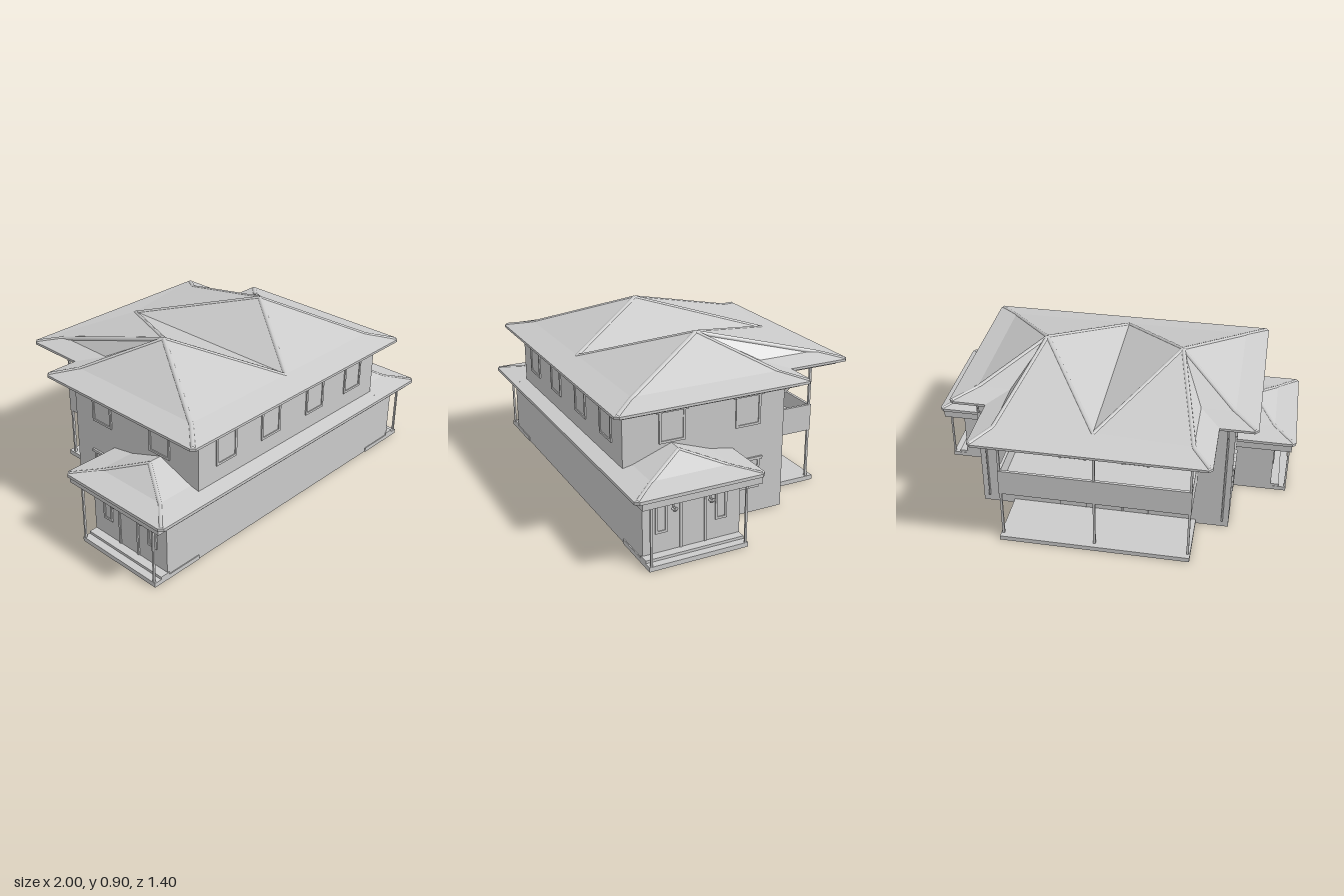
import * as THREE from 'three';

const mat = new THREE.MeshStandardMaterial({ color: 0xcccccc, flatShading: true, side: THREE.DoubleSide });
const smooth = new THREE.MeshStandardMaterial({ color: 0xcccccc });
const V = (x, y, z) => new THREE.Vector3(x, y, z);

function add(parent, name, geo, m = mat) {
  const mesh = new THREE.Mesh(geo, m);
  mesh.name = name;
  parent.add(mesh);
  return mesh;
}

// box given by its min and max on each axis
function box(parent, name, x0, x1, y0, y1, z0, z1) {
  const g = new THREE.BoxGeometry(Math.abs(x1 - x0), y1 - y0, z1 - z0);
  g.translate((x0 + x1) / 2, (y0 + y1) / 2, (z0 + z1) / 2);
  return add(parent, name, g);
}

// four thin walls around a rectangle, open above and below
function ring(parent, name, x0, x1, y0, y1, z0, z1, t = 0.01) {
  const g = new THREE.Group();
  g.name = name;
  const a = Math.min(x0, x1), b = Math.max(x0, x1);
  box(g, 'frontSide', a, b, y0, y1, z1 - t, z1);
  box(g, 'backSide', a, b, y0, y1, z0, z0 + t);
  box(g, 'rightSide', a, a + t, y0, y1, z0 + t, z1 - t);
  box(g, 'leftSide', b - t, b, y0, y1, z0 + t, z1 - t);
  parent.add(g);
}

// floor plate on a rim, hollow underneath
function hollowFloor(parent, name, x0, x1, y1, z0, z1) {
  ring(parent, name + 'Rim', x0, x1, 0, y1 - 0.006, z0, z1);
  box(parent, name, x0, x1, y1 - 0.006, y1, z0, z1);
}

// surface from triangles and quads of the +x half, mirrored to -x
function mirroredFaces(faces) {
  const pos = [];
  const tri = (a, b, c) => {
    for (const p of [a, b, c]) pos.push(p.x, p.y, p.z);
    for (const p of [a, c, b]) pos.push(-p.x, p.y, p.z);
  };
  for (const f of faces) {
    for (let i = 2; i < f.length; i++) {
      if (f[0] !== f[i] && f[i] !== f[i - 1]) tri(f[0], f[i - 1], f[i]);
    }
  }
  const g = new THREE.BufferGeometry();
  g.setAttribute('position', new THREE.Float32BufferAttribute(pos, 3));
  g.computeVertexNormals();
  return g;
}

// flat slab from a half outline of [x, z] points, mirrored to -x
function slab(parent, name, half, y0, y1) {
  const pts = [...half, ...half.slice().reverse().map(([x, z]) => [-x, z])];
  const shape = new THREE.Shape(pts.map(([x, z]) => new THREE.Vector2(x, -z)));
  const g = new THREE.ExtrudeGeometry(shape, { depth: y1 - y0, bevelEnabled: false });
  g.rotateX(-Math.PI / 2).translate(0, y0, 0);
  return add(parent, name, g);
}

// straight-segment pipe through points
function pipe(parent, name, points, r) {
  const curve = new THREE.CurvePath();
  for (let i = 1; i < points.length; i++) curve.add(new THREE.LineCurve3(points[i - 1], points[i]));
  add(parent, name, new THREE.TubeGeometry(curve, 40, r, 8), smooth);
}

// rounded caps sunk along the hips, on both sides
function hipCaps(parent, paths, r) {
  for (const s of [-1, 1]) for (const path of paths) {
    pipe(parent, 'hipCap', path.map(v => V(s * v.x, v.y - r * 0.75, v.z)), r);
  }
}

// framed window or door facing +z before it is turned
function opening(parent, name, x, y0, z, w, h, turn, isDoor = false) {
  const g = new THREE.Group();
  g.name = name;
  const b = 0.012, d = 0.007;
  box(g, 'pane', -w / 2, w / 2, 0, h, -0.004, 0.002);
  for (const s of [-1, 1]) box(g, 'jamb', s * w / 2, s * (w / 2 - b), 0, h, -0.004, d);
  box(g, 'hood', -w / 2 - 0.014, w / 2 + 0.014, h - 0.014, h, -0.004, 0.01);
  if (!isDoor) box(g, 'sill', -w / 2, w / 2, 0, b, -0.004, d);
  g.position.set(x, y0, z);
  g.rotation.y = turn;
  parent.add(g);
}

// small lantern on a bracket facing +z before it is turned
function wallLamp(parent, x, y, z, turn) {
  const g = new THREE.Group();
  g.name = 'wallLamp';
  box(g, 'bracket', -0.004, 0.004, 0, 0.03, 0, 0.008);
  box(g, 'arm', -0.004, 0.004, 0, 0.008, 0, 0.022);
  const shade = add(g, 'shade', new THREE.CylinderGeometry(0.016, 0.007, 0.014, 10), smooth);
  shade.position.set(0, -0.004, 0.018);
  g.position.set(x, y, z);
  g.rotation.y = turn;
  parent.add(g);
}

export function createModel() {
  const house = new THREE.Group();
  house.name = 'house';

  // walls, hollow and open below
  ring(house, 'mainWalls', -0.68, 0.68, 0, 0.68, -0.26, 0.62);

  // main roof: flared eave strip, then slopes rising to one peak per side
  const c = 0.02, eaveY = 0.703, flareY = 0.735;
  const eave = [[0, 0.7], [0.795 - c, 0.7], [0.795, 0.7 - c], [0.795, -0.35 + c], [0.795 - c, -0.35],
    [0.6, -0.35], [0.6, -0.7 + c], [0.6 - c, -0.7], [0, -0.7]];
  const o = eave.map(([x, z]) => V(x, eaveY, z));
  const f = [[0, 0.565], [0.67, 0.565], [0.67, -0.23], [0.495, -0.23], [0.495, -0.57], [0, -0.54]]
    .map(([x, z]) => V(x, flareY, z));
  const inner = [0, 1, 1, 2, 2, 3, 4, 4, 5].map(i => f[i]);
  const peak = V(0.362, 0.896, 0.07);
  const faces = [];
  for (let i = 0; i < o.length - 1; i++) {
    faces.push([o[i], o[i + 1], inner[i + 1]], [o[i], inner[i + 1], inner[i]]);
  }
  for (let i = 0; i < f.length; i++) faces.push([f[i], f[(i + 1) % f.length], peak]);
  add(house, 'mainRoof', mirroredFaces(faces));
  slab(house, 'mainEave', eave, 0.69, eaveY);
  slab(house, 'mainSoffit', [[0, 0.655], [0.75, 0.655], [0.75, -0.305], [0.555, -0.305], [0.555, -0.655], [0, -0.655]], 0.668, 0.692);
  hipCaps(house, [
    [V(0.78, 0.708, 0.685), f[1], peak], [V(0.78, 0.708, -0.335), f[2], peak],
    [V(0.585, 0.708, -0.685), f[4], peak], [f[0], peak], [f[5], peak],
  ], 0.014);

  // lower roof: strip along the front and a hip over each side porch
  const lo = [[0.67, 0.7], [1 - c, 0.7], [1, 0.7 - c], [1, 0.03 + c], [1 - c, 0.03], [0.67, 0.03]];
  const lp = lo.map(([x, z]) => V(x, 0.378, z));
  const lf = [[0.67, 0.57], [0.88, 0.57], [0.88, 0.16], [0.67, 0.16]].map(([x, z]) => V(x, 0.402, z));
  const li = [0, 1, 1, 2, 2, 3].map(i => lf[i]);
  const r0 = V(0.75, 0.475, 0.365), r1 = V(0.67, 0.475, 0.365);
  const lowFaces = [
    [V(0, 0.378, 0.7), lp[0], V(0.67, 0.394, 0.612), V(0, 0.394, 0.612)],
    [lf[0], lf[1], r0, r1], [lf[1], lf[2], r0], [lf[2], lf[3], r1, r0],
  ];
  for (let i = 0; i < lo.length - 1; i++) {
    lowFaces.push([lp[i], lp[i + 1], li[i + 1]], [lp[i], li[i + 1], li[i]]);
  }
  add(house, 'lowerRoof', mirroredFaces(lowFaces));
  slab(house, 'lowerEave', [[0, 0.7], ...lo, [0.67, 0.612], [0, 0.612]], 0.362, 0.378);
  hipCaps(house, [[V(0.985, 0.382, 0.685), lf[1], r0], [V(0.985, 0.382, 0.045), lf[2], r0]], 0.011);
  box(house, 'frontBeam', -0.98, 0.98, 0.32, 0.365, 0.612, 0.66);

  for (const s of [-1, 1]) {
    const side = s * Math.PI / 2;

    // side wing and its porch
    ring(house, 'sideWing', s * 0.672, s * 0.89, 0.024, 0.362, 0.108, 0.62);
    box(house, 'porchBeam', s * 0.955, s * 0.98, 0.32, 0.365, 0.04, 0.655);
    box(house, 'porchBackBeam', s * 0.672, s * 0.98, 0.32, 0.365, 0.04, 0.065);
    box(house, 'porchCeiling', s * 0.68, s * 0.97, 0.345, 0.365, 0.05, 0.64);
    hollowFloor(house, 'porchFloor', s * 0.68, s * 0.975, 0.024, 0.108, 0.625);
    box(house, 'porchStep', s * 0.88, s * 0.935, 0.02, 0.038, 0.11, 0.625);
    for (const z of [0.12, 0.613]) {
      box(house, 'porchColumn', s * 0.964, s * 0.974, 0.02, 0.33, z - 0.005, z + 0.005);
    }
    opening(house, 'porchDoor', s * 0.89, 0.04, 0.36, 0.14, 0.268, side, true);
    for (const z of [0.525, 0.212]) opening(house, 'porchWindow', s * 0.89, 0.138, z, 0.062, 0.168, side);
    for (const z of [0.463, 0.27]) wallLamp(house, s * 0.89, 0.252, z, side);

    // side, front and back windows
    opening(house, 'sideWindow', s * 0.68, 0.48, 0.362, 0.14, 0.17, side);
    opening(house, 'sideWindow', s * 0.68, 0.48, -0.053, 0.14, 0.17, side);
    opening(house, 'sideWindow', s * 0.68, 0.138, -0.053, 0.14, 0.168, side);
    for (const x of [0.172, 0.492]) opening(house, 'frontWindow', s * x, 0.48, 0.62, 0.14, 0.172, 0);
    for (const y of [0.03, 0.35]) {
      opening(house, 'backDoor', s * 0.17, y, -0.26, 0.15, 0.27, Math.PI, true);
      opening(house, 'backWindow', s * 0.4, y + 0.12, -0.26, 0.12, 0.16, Math.PI);
      wallLamp(house, s * 0.29, y + 0.232, -0.26, Math.PI);
    }

    // downpipe from the rear eave
    pipe(house, 'downpipe', [[0.7, -0.34], [0.64, -0.33], [0.59, -0.264], [0.06, -0.264], [0.045, -0.274]]
      .map(([y, z]) => V(s * 0.645, y, z)), 0.005);

    box(house, 'sideParapet', s * 0.485, s * 0.5, 0.295, 0.44, -0.545, -0.255);
  }

  // rear terrace and balcony
  hollowFloor(house, 'terraceFloor', -0.505, 0.505, 0.025, -0.575, -0.255);
  box(house, 'balconyFloor', -0.49, 0.49, 0.33, 0.35, -0.54, -0.255);
  box(house, 'backParapet', -0.5, 0.5, 0.295, 0.44, -0.55, -0.535);
  box(house, 'middleBeam', -0.012, 0.012, 0.3, 0.335, -0.54, -0.255);
  box(house, 'wallBeam', -0.49, 0.49, 0.3, 0.335, -0.275, -0.255);
  for (const x of [-0.492, 0, 0.492]) {
    box(house, 'rearColumn', x - 0.006, x + 0.006, 0.02, 0.68, -0.546, -0.534);
  }
  return house;
}
